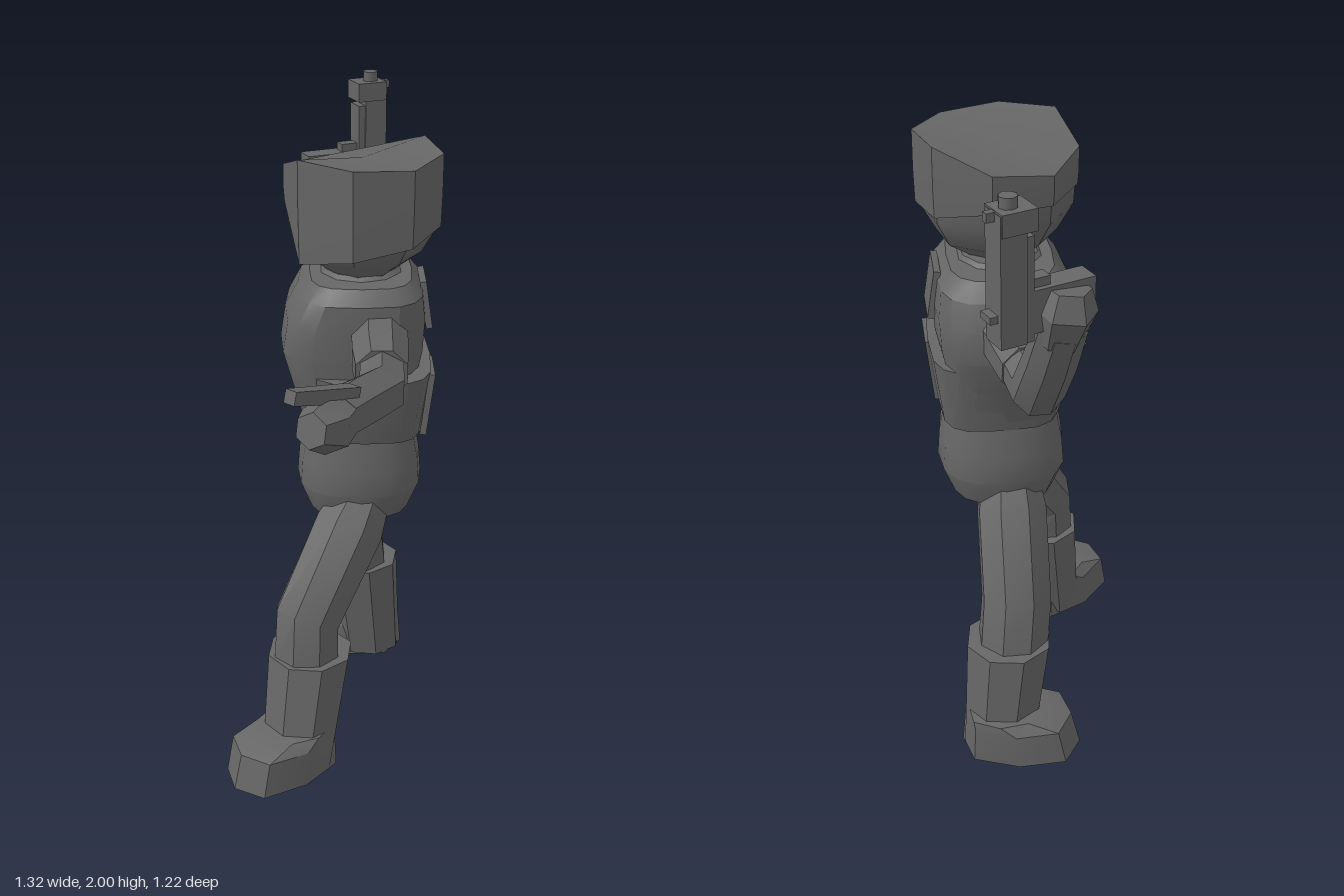
import * as THREE from 'three';
import { toCreasedNormals } from 'three/addons/utils/BufferGeometryUtils.js';

const V = (x, y, z) => new THREE.Vector3(x, y, z);
const darkGrey = new THREE.MeshStandardMaterial({ color: 0x666666 });

function addMesh(parent, name, geometry) {
  const mesh = new THREE.Mesh(geometry, darkGrey);
  mesh.name = name;
  parent.add(mesh);
  return mesh;
}

// Skin a row of rings (equal point counts) and close both ends
function loft(parent, name, rings) {
  const pos = [], n = rings[0].length;
  const tri = (...pts) => pts.forEach(p => pos.push(p.x, p.y, p.z));
  for (let r = 0; r < rings.length - 1; r++) {
    const a = rings[r], b = rings[r + 1];
    for (let i = 0; i < n; i++) {
      const j = (i + 1) % n;
      tri(a[i], a[j], b[j]);
      tri(a[i], b[j], b[i]);
    }
  }
  const mid = ring => ring.reduce((s, p) => s.add(p), V(0, 0, 0)).divideScalar(n);
  const first = rings[0], last = rings[rings.length - 1];
  const c0 = mid(first), c1 = mid(last);
  for (let i = 0; i < n; i++) {
    const j = (i + 1) % n;
    tri(c0, first[j], first[i]);
    tri(c1, last[i], last[j]);
  }
  const g = new THREE.BufferGeometry();
  g.setAttribute('position', new THREE.Float32BufferAttribute(pos, 3));
  return addMesh(parent, name, toCreasedNormals(g, 0.5));
}

// Horizontal superellipse ring: p = 1 is round, smaller is boxier
function ring(x, y, z, rx, rz, n = 8, p = 1, turn = 0) {
  const soft = v => Math.sign(v) * Math.abs(v) ** p;
  return Array.from({ length: n }, (_, i) => {
    const t = turn + i * 2 * Math.PI / n;
    return V(x + rx * soft(Math.cos(t)), y, z - rz * soft(Math.sin(t)));
  });
}

// Limb along points [x, y, z, radius], rings square to the path
function limb(parent, name, path, ref, n = 8) {
  const pts = path.map(p => V(p[0], p[1], p[2]));
  const rings = pts.map((c, k) => {
    const t = pts[Math.min(k + 1, pts.length - 1)].clone()
      .sub(pts[Math.max(k - 1, 0)]).normalize();
    const a = t.clone().cross(ref).normalize(), b = t.clone().cross(a);
    return Array.from({ length: n }, (_, i) => {
      const w = (i + 0.5) * 2 * Math.PI / n, r = path[k][3];
      return c.clone().addScaledVector(a, r * Math.cos(w)).addScaledVector(b, r * Math.sin(w));
    });
  });
  return loft(parent, name, rings);
}

function box(parent, name, size, at, tilt = 0) {
  const m = addMesh(parent, name, new THREE.BoxGeometry(...size));
  m.position.set(...at);
  m.rotation.x = tilt;
}

export function createModel() {
  const model = new THREE.Group();
  model.name = 'figure';

  // Trunk, turned toward its right; rows are [y, half width, half depth, z, x]
  const trunk = new THREE.Group();
  trunk.name = 'trunk';
  trunk.position.set(-0.01, 0, -0.105);
  trunk.rotation.y = -0.64;
  model.add(trunk);
  const rows = (list, n, p) => list.map(([y, rx, rz, z = 0, x = 0]) => ring(x, y, z, rx, rz, n, p));
  loft(trunk, 'chest', rows([
    [1.05, 0.19, 0.17], [1.2, 0.225, 0.19, 0.02, -0.01], [1.32, 0.26, 0.22, 0.025, -0.03],
    [1.42, 0.262, 0.215, 0.015, -0.025], [1.5, 0.245, 0.19, 0, -0.01], [1.545, 0.2, 0.155],
  ], 16, 0.58));
  loft(trunk, 'lowerVest', rows([
    [1.05, 0.2, 0.172, -0.015, 0.005], [1.27, 0.25, 0.192, -0.025, 0.012],
  ], 16, 0.55));
  loft(trunk, 'pelvis', rows([
    [0.78, 0.18, 0.16], [0.87, 0.212, 0.196], [0.95, 0.205, 0.19], [1.06, 0.19, 0.17],
  ], 16, 0.75));
  loft(trunk, 'collar', rows([[1.52, 0.17, 0.15], [1.557, 0.12, 0.115]], 10, 1));
  box(trunk, 'backFlap', [0.15, 0.15, 0.02], [0, 1.45, -0.197], 0.15);
  box(trunk, 'backPanel', [0.16, 0.2, 0.02], [0.08, 1.16, -0.202], -0.12);

  // Head looks toward -x
  const head = new THREE.Group();
  head.name = 'head';
  head.position.set(0.01, 0, -0.095);
  model.add(head);
  loft(head, 'neck', [ring(0, 1.5, 0, 0.1, 0.1), ring(0, 1.6, 0, 0.1, 0.1)]);
  loft(head, 'face', [
    ring(0, 1.555, 0, 0.1, 0.1), ring(0, 1.61, 0, 0.175, 0.18),
    ring(0, 1.69, 0, 0.222, 0.224), ring(0, 1.8, 0, 0.23, 0.23),
  ]);
  // Hat edges drop over the left side and back of the head
  const hatRing = (r, yAt) => ring(0, 0, 0, r, r).map(p => V(p.x, yAt(p.x / r, p.z / r), p.z));
  loft(head, 'hat', [
    hatRing(0.234, (u, w) => u < -0.05 ? 1.75 : 1.66 + 0.01 * u - 0.05 * w * Math.abs(w)),
    hatRing(0.237, () => 1.79),
    hatRing(0.237, u => u < 0 ? 1.92 + 0.08 * u : 1.92 - 0.02 * u * u),
  ]);

  // Legs and boots: hip-to-boot path, shaft ends, foot centre and turn
  const front = V(-0.6, 0, 0.8);
  const legs = [
    { side: 'left', path: [[0.08, 0.84, -0.06, 0.09], [0.095, 0.74, 0.015, 0.116],
      [0.12, 0.49, 0.2, 0.108], [0.125, 0.34, 0.21, 0.108]],
      low: [0.155, 0.27], top: [0.125, 0.195], foot: [0.158, 0.335], yaw: 0.03 },
    { side: 'right', path: [[-0.09, 0.84, -0.14, 0.09], [-0.14, 0.74, -0.18, 0.112],
      [-0.25, 0.5, -0.265, 0.112], [-0.26, 0.34, -0.29, 0.112]],
      low: [-0.262, -0.35], top: [-0.258, -0.305], foot: [-0.325, -0.315], yaw: -0.8 },
  ];
  for (const { side, path, low, top, foot, yaw } of legs) {
    limb(model, side + 'Leg', path, front);
    loft(model, side + 'BootShaft', [
      ring(low[0], 0.01, low[1], 0.118, 0.118, 8, 1, yaw + Math.PI / 8),
      ring(top[0], 0.372, top[1], 0.136, 0.136, 8, 1, yaw + Math.PI / 8),
    ]);
    const shoe = loft(model, side + 'Foot', [
      ring(0, 0, 0, 0.128, 0.187, 8, 0.75), ring(0, 0.115, -0.01, 0.126, 0.168, 8, 0.75),
      ring(0, 0.145, -0.06, 0.115, 0.11, 8, 0.75),
    ]);
    shoe.position.set(foot[0], 0, foot[1]);
    shoe.rotation.y = yaw;
  }

  // Left arm, stretched out with a pointing finger
  const up = V(0, 1, 0);
  limb(model, 'leftSleeve', [[0.19, 1.385, -0.02, 0.09], [0.28, 1.38, 0.05, 0.088],
    [0.355, 1.37, 0.105, 0.08]], up);
  limb(model, 'leftArm', [[0.3, 1.375, 0.06, 0.072], [0.435, 1.365, 0.17, 0.073],
    [0.5, 1.385, 0.31, 0.074], [0.56, 1.4, 0.43, 0.07]], up, 6);
  limb(model, 'leftFist', [[0.54, 1.4, 0.39, 0.064], [0.588, 1.395, 0.48, 0.078],
    [0.612, 1.41, 0.545, 0.05]], up, 6);
  limb(model, 'leftFinger', [[0.55, 1.445, 0.36, 0.032], [0.596, 1.512, 0.598, 0.026]], up, 4);

  // Right arm, bent with the hand raised
  limb(model, 'rightSleeve', [[-0.2, 1.4, -0.24, 0.095], [-0.29, 1.385, -0.285, 0.088],
    [-0.36, 1.375, -0.32, 0.082]], up);
  limb(model, 'rightArm', [[-0.3, 1.385, -0.29, 0.076], [-0.44, 1.365, -0.36, 0.08],
    [-0.51, 1.49, -0.385, 0.074], [-0.565, 1.62, -0.4, 0.07]], front);
  limb(model, 'rightFist', [[-0.55, 1.58, -0.4, 0.07], [-0.575, 1.67, -0.4, 0.088],
    [-0.58, 1.73, -0.395, 0.062]], front, 6);

  // Raised pistol: barrel up, grip running forward into the hand
  const pistol = new THREE.Group();
  pistol.name = 'pistol';
  pistol.position.set(-0.515, 0, -0.535);
  pistol.rotation.y = -0.25;
  model.add(pistol);
  box(pistol, 'slide', [0.08, 0.36, 0.075], [0, 1.785, -0.01]);
  box(pistol, 'frame', [0.07, 0.29, 0.03], [0, 1.75, 0.035]);
  box(pistol, 'muzzleBlock', [0.09, 0.06, 0.1], [0, 1.94, 0.005]);
  box(pistol, 'grip', [0.07, 0.12, 0.21], [0, 1.685, 0.125]);
  box(pistol, 'triggerGuard', [0.04, 0.03, 0.07], [0, 1.755, 0.07]);
  box(pistol, 'frontSight', [0.02, 0.025, 0.03], [0, 1.955, -0.055]);
  box(pistol, 'rearSight', [0.05, 0.02, 0.03], [0, 1.685, -0.055]);
  const muzzle = addMesh(pistol, 'muzzle', new THREE.CylinderGeometry(0.025, 0.025, 0.05, 8));
  muzzle.position.set(0, 1.975, -0.005);

  return model;
}
